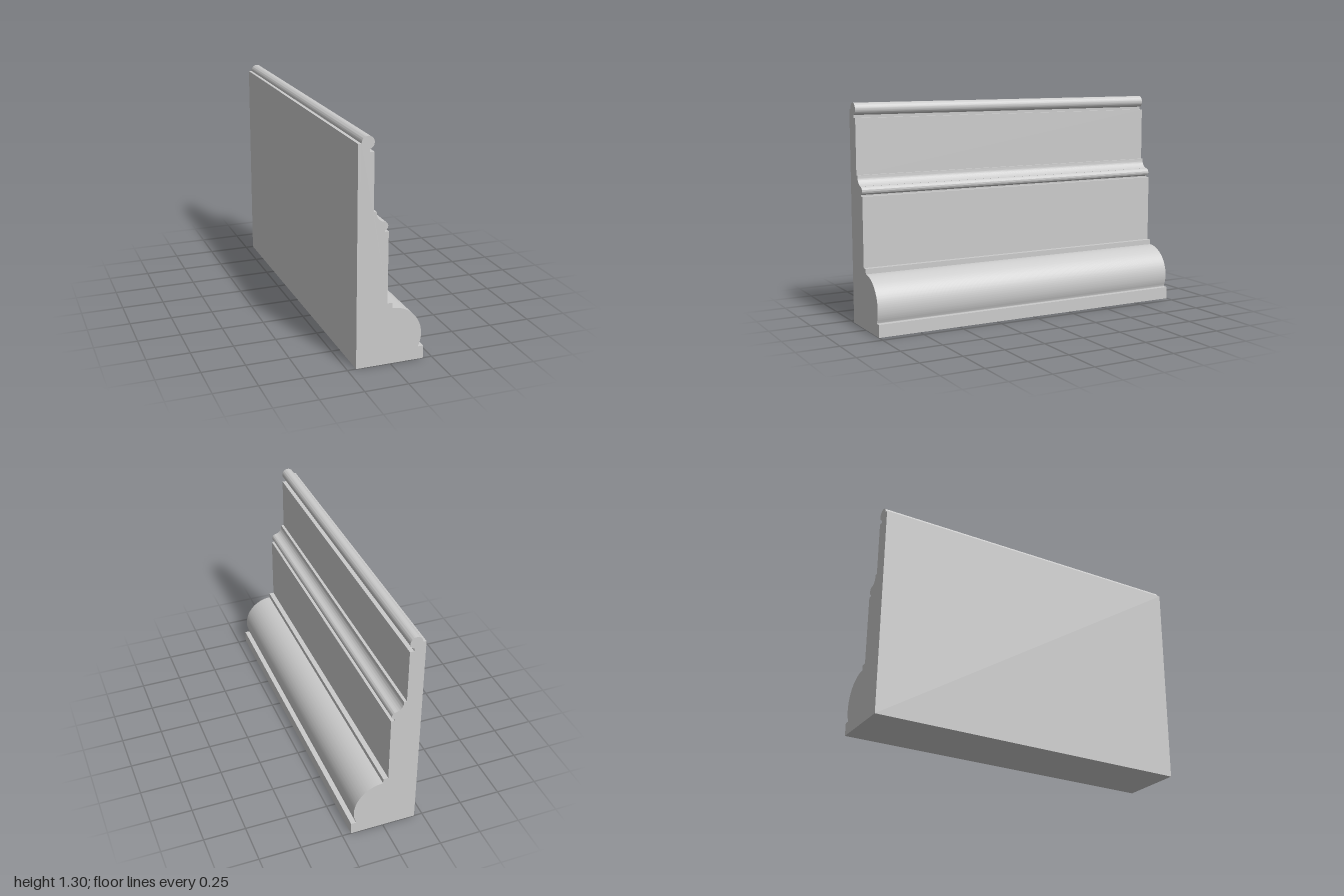
import * as THREE from 'three';
import { toCreasedNormals } from 'three/addons/utils/BufferGeometryUtils.js';

const LENGTH = 2;
const rad = THREE.MathUtils.degToRad;

// Cross-section of the moulding: flat back at -x, moulded face towards +x
function mouldingProfile() {
  const s = new THREE.Shape();
  const arc = (x, y, r, from, to, clockwise = false) =>
    s.absarc(x, y, r, rad(from), rad(to), clockwise);
  const lines = (...points) => points.forEach(([x, y]) => s.lineTo(x, y));

  // plinth
  s.moveTo(-0.2, 0);
  lines([0.197, 0], [0.197, 0.075], [0.167, 0.075]);
  // large rounded base and fillet
  arc(0.005, 0.152, 0.177, -24, 89);
  lines([0.008, 0.36], [-0.022, 0.36]);
  // lower flat panel
  lines([-0.022, 0.772], [-0.043, 0.772]);
  // middle bead, cove and fillet
  arc(-0.051, 0.804, 0.025, -72, 80);
  arc(-0.042, 0.879, 0.05, 267, 180, true);
  lines([-0.092, 0.888], [-0.109, 0.888]);
  // upper flat panel
  lines([-0.109, 1.214], [-0.134, 1.214]);
  // top bead and back shoulder
  arc(-0.145, 1.265, 0.036, -72, 184);
  lines([-0.2, 1.262], [-0.2, 0]);
  return s;
}

export function createModel() {
  const group = new THREE.Group();
  group.name = 'skirtingBoard';

  const extruded = new THREE.ExtrudeGeometry(mouldingProfile(), {
    depth: LENGTH,
    bevelEnabled: false,
    curveSegments: 32,
  });
  extruded.translate(0, 0, -LENGTH / 2);

  const moulding = new THREE.Mesh(
    toCreasedNormals(extruded, rad(30)),
    new THREE.MeshStandardMaterial({ color: 0xcccccc })
  );
  moulding.name = 'moulding';
  group.add(moulding);
  return group;
}
